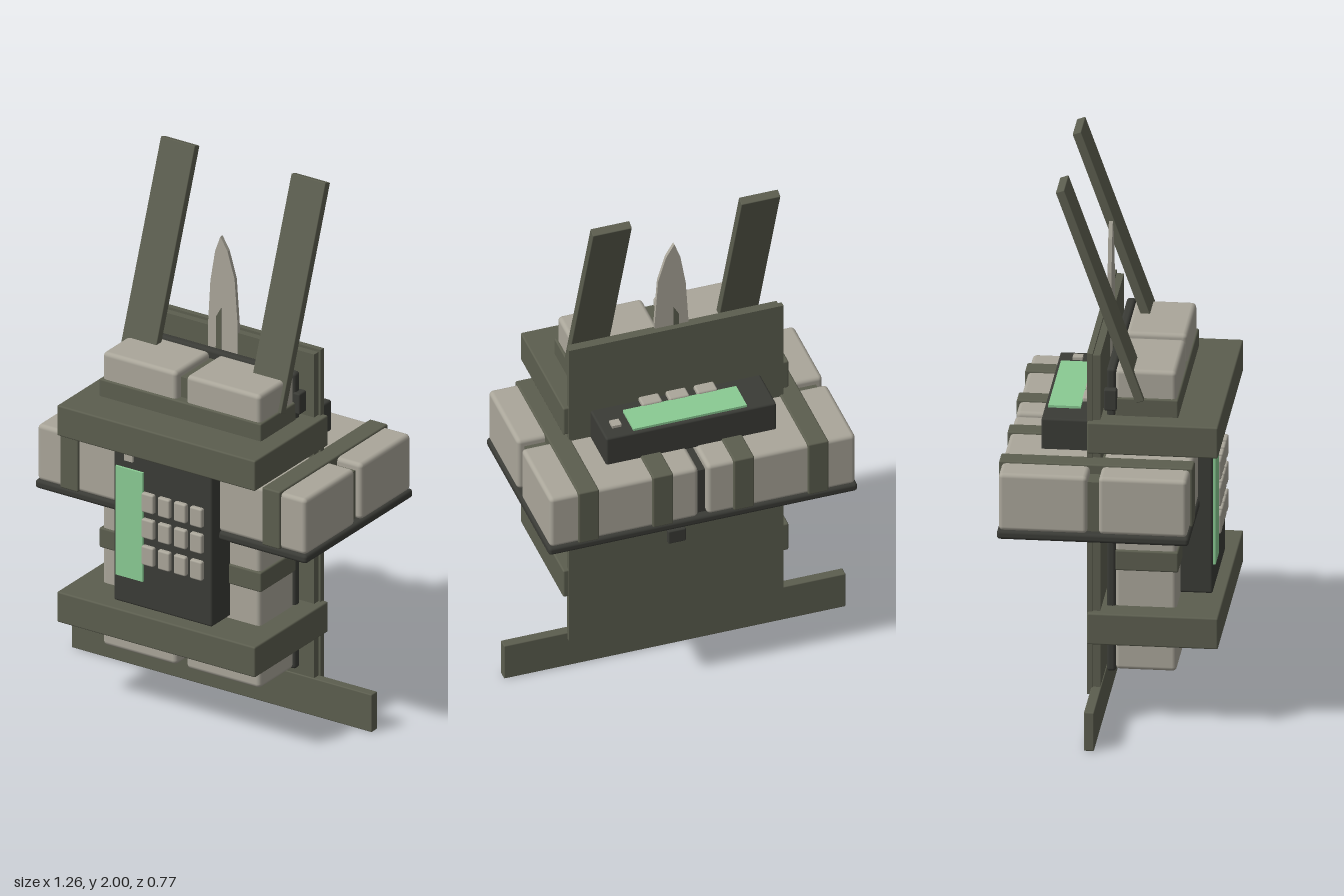
import * as THREE from 'three';
import { RoundedBoxGeometry } from 'three/addons/geometries/RoundedBoxGeometry.js';

const mat = (name, color) => Object.assign(new THREE.MeshStandardMaterial({ color }), { name });

export function createModel() {
  const olive = mat('olive', 0x5c5e4f);
  const tan = mat('stone tan', 0xaaa69a);
  const dark = mat('charcoal', 0x3a3b36);
  const green = mat('screen green', 0x8acb93);
  const model = new THREE.Group();
  model.name = 'model';

  // Box given by its min and max on each axis; r rounds the edges
  function box(parent, name, material, [x0, x1], [y0, y1], [z0, z1], r = 0) {
    const s = [x1 - x0, y1 - y0, z1 - z0];
    const geo = r ? new RoundedBoxGeometry(...s, 2, r) : new THREE.BoxGeometry(...s);
    const mesh = new THREE.Mesh(geo, material);
    mesh.name = name;
    mesh.position.set((x0 + x1) / 2, (y0 + y1) / 2, (z0 + z1) / 2);
    parent.add(mesh);
    return mesh;
  }
  const around = (c, size) => [c - size / 2, c + size / 2];

  // Strapped pack of four blocks on a tray, with a keypad on its face
  function pack(name) {
    const g = new THREE.Group();
    g.name = name;
    box(g, 'tray', dark, [-0.338, 0.338], [-0.572, 0.572], [-0.018, 0.015], 0.012);
    for (const sx of [-1, 1]) for (const sy of [-1, 1]) {
      box(g, 'block', tan, around(sx * 0.176, 0.312), around(sy * 0.291, 0.55), [0.012, 0.228], 0.016);
    }
    box(g, 'middleStrip', olive, [-0.022, 0.022], [-0.54, 0.54], [0.01, 0.2]);
    box(g, 'crossStrip', dark, [-0.31, 0.31], [-0.018, 0.018], [0.01, 0.2]);
    for (const y of [-0.425, -0.15, 0.15, 0.425]) {
      box(g, 'strap', olive, [-0.341, 0.341], around(y, 0.076), [0.013, 0.235], 0.006);
    }
    // Keypad
    box(g, 'keypadCase', dark, [-0.208, 0.206], [-0.315, 0.315], [0.22, 0.342], 0.008);
    box(g, 'screen', green, [-0.195, -0.08], [-0.21, 0.21], [0.342, 0.351]);
    box(g, 'indicator', tan, around(-0.14, 0.035), around(0.258, 0.035), [0.335, 0.352]);
    for (const x of [-0.057, 0.011, 0.079, 0.147]) for (const y of [-0.104, 0, 0.1]) {
      box(g, 'key', tan, around(x, 0.051), around(y, 0.074), [0.335, 0.358], 0.007);
    }
    model.add(g);
    return g;
  }
  pack('frontPack').position.set(0, 0.755, 0);
  const flat = pack('flatPack');
  flat.quaternion.setFromRotationMatrix(new THREE.Matrix4().makeBasis(
    new THREE.Vector3(0, 0, 1), new THREE.Vector3(1, 0, 0), new THREE.Vector3(0, 1, 0)));
  flat.position.set(0, 0.777, -0.042);

  // Back board in two layers, with a wide foot
  box(model, 'backBoard', olive, [-0.4, 0.395], [0.12, 1.405], [-0.08, -0.06]);
  box(model, 'innerBoard', olive, [-0.39, 0.385], [0.1, 1.395], [-0.062, -0.034]);
  box(model, 'foot', olive, [-0.635, 0.63], [0, 0.145], [-0.066, -0.03], 0.004);

  // Hollow brackets, capped on top and open below
  for (const y of [0.315, 1.035]) {
    const g = new THREE.Group();
    g.name = 'bracket';
    model.add(g);
    box(g, 'bracketTop', olive, [-0.42, 0.415], [y + 0.09, y + 0.117], [-0.078, 0.383], 0.006);
    box(g, 'bracketFront', olive, [-0.42, 0.415], [y, y + 0.115], [0.35, 0.383], 0.006);
    box(g, 'bracketSide', olive, [-0.42, -0.39], [y, y + 0.115], [-0.078, 0.38], 0.006);
    box(g, 'bracketSide', olive, [0.385, 0.415], [y, y + 0.115], [-0.078, 0.38], 0.006);
  }

  // Uprights leaning back
  for (const x of [-0.277, 0.273]) {
    const arm = box(model, 'upright', olive, around(x, 0.144), around(1.6, 0.833), around(-0.04, 0.032), 0.003);
    arm.rotation.x = -Math.atan2(0.28, 0.78);
    // Dark clip beside the pack
    box(model, 'sideClip', dark, around(Math.sign(x) * 0.345, 0.03), [1.175, 1.255], [-0.025, 0.02], 0.006);
  }

  // Pointed blade with a groove on both faces
  const outline = [[-0.06, 1.0], [0.065, 1.0], [0.065, 1.42], [0.052, 1.6], [0.022, 1.7], [-0.008, 1.75],
    [-0.03, 1.69], [-0.05, 1.57], [-0.06, 1.4]].map(p => new THREE.Vector2(...p));
  const blade = new THREE.Mesh(new THREE.ExtrudeGeometry(new THREE.Shape(outline),
    { depth: 0.014, bevelEnabled: false }), tan);
  blade.name = 'blade';
  blade.position.z = -0.045;
  model.add(blade);
  const slot = [[-0.03, 1.1], [-0.004, 1.1], [-0.004, 1.475], [-0.024, 1.44]].map(p => new THREE.Vector2(...p));
  const groove = new THREE.Mesh(new THREE.ExtrudeGeometry(new THREE.Shape(slot),
    { depth: 0.018, bevelEnabled: false }), olive);
  groove.name = 'bladeGroove';
  groove.position.z = -0.047;
  model.add(groove);

  // Padlock hanging on a short chain at the back
  box(model, 'padlock', dark, [-0.033, 0.033], [0.47, 0.525], [-0.1, -0.08], 0.005);
  for (let i = 0; i < 4; i++) {
    const link = new THREE.Mesh(new THREE.TorusGeometry(0.016, 0.005, 6, 12), dark);
    link.name = 'chainLink';
    link.scale.y = 2;
    link.position.set(0, 0.55 + i * 0.058, -0.084);
    link.rotation.y = i % 2 ? Math.PI / 2 : 0;
    model.add(link);
  }
  return model;
}
